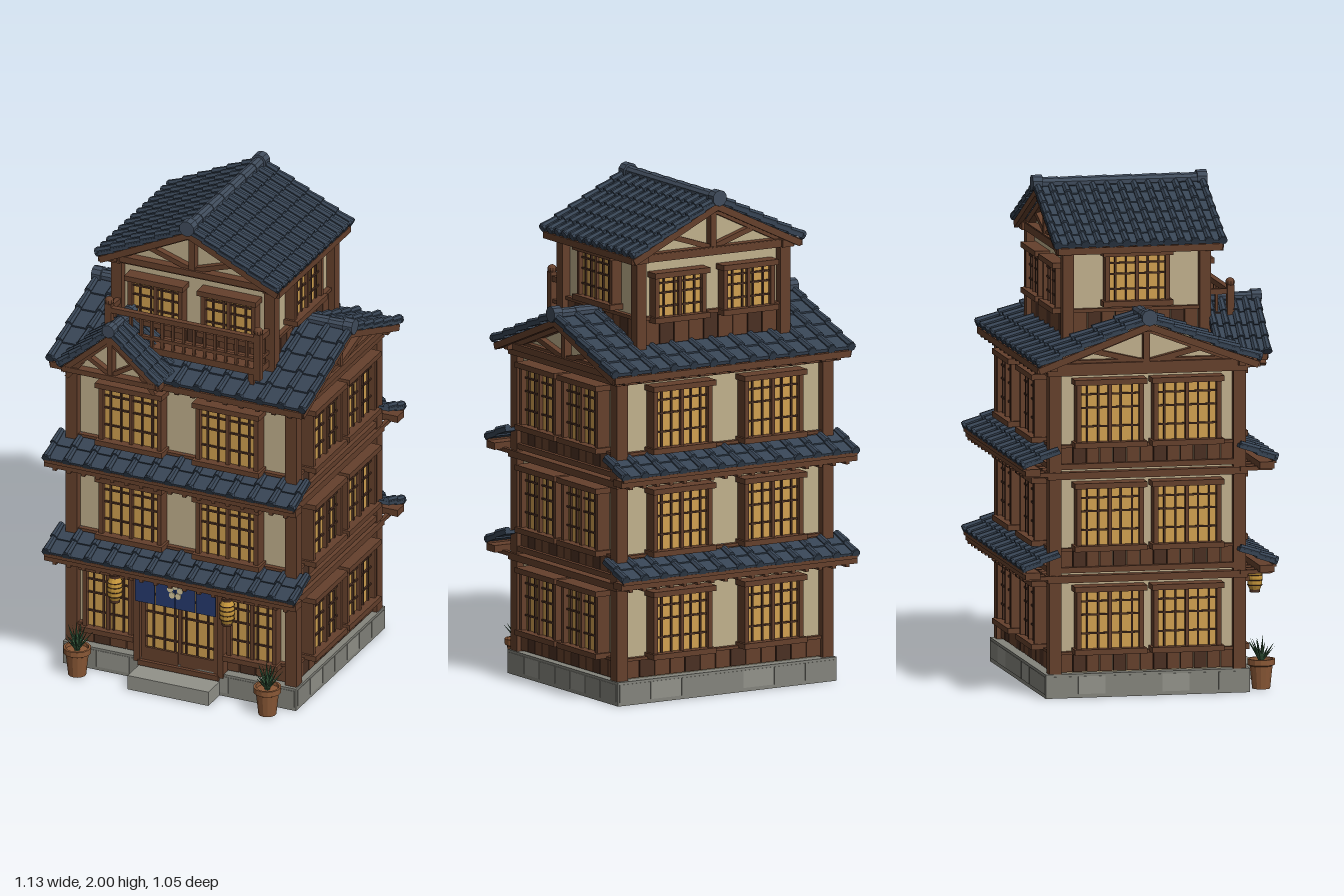
import * as THREE from 'three';
import { mergeGeometries } from 'three/addons/utils/BufferGeometryUtils.js';

const mat = (color) => new THREE.MeshStandardMaterial({ color, flatShading: true });
const WOOD = mat(0x65402c), DARK = mat(0x4a2f22), PLASTER = mat(0xc0b08c), PAPER = mat(0xd0a050);
const TILE = mat(0x374454), RIDGE = mat(0x404c5c), STONE = mat(0x84847c), STONE2 = mat(0x92928a);
const BLUE = mat(0x263a6e), CREAM = mat(0xd8cba0), POT = mat(0x8a5836), LEAF = mat(0x34583a), GOLD = mat(0xc8983c);

function mesh(parent, name, geo, material) {
  const m = new THREE.Mesh(geo, material);
  m.name = name;
  parent.add(m);
  return m;
}
function group(parent, name, x = 0, y = 0, z = 0, ry = 0) {
  const g = new THREE.Group();
  g.name = name;
  g.position.set(x, y, z);
  g.rotation.y = ry;
  if (parent) parent.add(g);
  return g;
}
// box: [width, height, depth, x, y, z, turn about z]
const box = ([w, h, d, x, y, z, rz = 0]) => new THREE.BoxGeometry(w, h, d).rotateZ(rz).translate(x, y, z);
const boxes = (parent, name, material, list) => mesh(parent, name, mergeGeometries(list.map(box)), material);
// straight timber between two points in the xy plane
const timber = (x1, y1, x2, y2, t, d, z) =>
  [Math.hypot(x2 - x1, y2 - y1), t, d, (x1 + x2) / 2, (y1 + y2) / 2, z, Math.atan2(y2 - y1, x2 - x1)];

// Lattice window facing +z, its back on z = 0, centred on x and y
function windowBay(parent, name, x, y, z, w, h, deep = 0.055) {
  const g = group(parent, name, x, y, z), f = 0.018;
  boxes(g, 'paperPane', PAPER, [[w - f, h - f, deep * 0.6, 0, 0, deep * 0.3]]);
  const frame = [[w + 0.02, 0.022, deep + 0.015, 0, h / 2 - 0.008, (deep + 0.015) / 2],
    [w + 0.02, 0.022, deep + 0.015, 0, -h / 2 + 0.008, (deep + 0.015) / 2], [0.014, h, deep * 0.9, 0, 0, deep * 0.45]];
  for (const s of [-1, 1]) frame.push([f, h, deep, s * (w - f) / 2, 0, deep / 2]);
  boxes(g, 'windowFrame', WOOD, frame);
  const bars = [], n = Math.max(4, Math.round(w / 0.045));
  for (let i = 1; i < n; i++) bars.push([0.007, h - f, 0.01, -w / 2 + (i * w) / n, 0, deep * 0.66]);
  for (const v of [-0.2, 0.08, 0.28]) bars.push([w - f, 0.007, 0.01, 0, v * h, deep * 0.64]);
  boxes(g, 'windowLattice', DARK, bars);
}

// Row of boards in two shades along x
function boards(parent, name, len, h, y, z, n, mats) {
  mats.forEach((m, k) => {
    const list = [];
    for (let i = 0; i < n; i++)
      if ((i % 3 === 1 ? 1 : 0) === k) list.push([len / n - 0.004, h, 0.012, -len / 2 + (i + 0.5) * len / n, y, z]);
    boxes(parent, name, m, list);
  });
}

// Tiled slope: x across, z running down from the top edge, pitched by angle
function slope(parent, name, width, len, angle, courses, cols, r = 0.014) {
  const parts = [], c = len / courses;
  for (let i = 0; i < courses; i++) {
    const zc = (i + 0.5) * c;
    parts.push(new THREE.BoxGeometry(width, 0.014, c * 1.08).rotateX(-0.08).translate(0, 0.01, zc));
    for (let j = 0; j < cols; j++) {
      const x = -width / 2 + r + (j * (width - 2 * r)) / (cols - 1);
      parts.push(new THREE.CylinderGeometry(r * 1.1, r * 0.9, c * 1.05, 7).rotateX(Math.PI / 2 - 0.08).translate(x, 0.02, zc));
      if (i === courses - 1)
        parts.push(new THREE.CylinderGeometry(r * 1.3, r * 1.3, 0.012, 8).rotateX(Math.PI / 2).translate(x, 0.018, len));
    }
  }
  mesh(parent, name, mergeGeometries(parts), TILE).rotation.x = angle;
}

// Gable roof with its ridge along z at y = 0, with timbered gables at z = +-wall
function gableRoof(parent, name, o) {
  const g = group(parent, name, o.x, o.y, o.z, o.ry), { len, half, drop, wall } = o, t = o.t || 0.026;
  const a = Math.atan2(drop, half), L = Math.hypot(half, drop), end = len / 2;
  const wood = [];
  for (const s of [-1, 1]) {
    slope(group(g, 'roofSlope', 0, 0, 0, s * Math.PI / 2), 'roofTiles', len, L, a, o.courses, o.cols);
    wood.push([0.02, 0.026, len - 0.03, s * (half - 0.002), -drop - 0.012, 0]);
    wood.push([t, t, len - 0.05, s * half * 0.86, -drop * 0.86 - 0.03, 0]);
    // bargeboards, tie beam, king post and struts
    for (const e of [-1, 1]) {
      wood.push(timber(0, -0.016, s * half, -drop - 0.016, t, 0.022, e * (end - 0.02)));
      wood.push(timber(0, -0.03, s * half * 0.95, -drop * 0.95 - 0.03, t, 0.03, e * (wall + 0.015)));
      wood.push(timber(0, -drop, s * half * 0.5, -drop * 0.5 - 0.03, t * 0.8, 0.03, e * (wall + 0.012)));
      if (s > 0) wood.push([half * 1.94, t, 0.045, 0, -drop - 0.008, e * (wall + 0.015)],
        [t, drop, 0.036, 0, -drop / 2 - 0.015, e * (wall + 0.015)]);
    }
  }
  wood.push([t, t, len - 0.03, 0, -0.025, 0]);
  boxes(g, 'roofTimbers', WOOD, wood);
  const tri = new THREE.Shape([new THREE.Vector2(-half * 0.93, -drop - 0.005),
    new THREE.Vector2(half * 0.93, -drop - 0.005), new THREE.Vector2(0, -0.015)]);
  mesh(g, 'gablePlaster', new THREE.ExtrudeGeometry(tri, { depth: wall * 2, bevelEnabled: false }).translate(0, 0, -wall), PLASTER);
  // ridge tiles with knobs at both ends
  const n = Math.max(2, Math.round(len / 0.1)), r = o.ridge || 0.024, ridge = [];
  for (let i = 0; i < n; i++)
    ridge.push(new THREE.CylinderGeometry(r, r * 0.88, len / n, 10).rotateX(Math.PI / 2).translate(0, 0.018, -end + (i + 0.5) * len / n));
  for (const e of [-1, 1])
    ridge.push(new THREE.CylinderGeometry(r * 1.25, r * 1.25, 0.04, 10).rotateX(Math.PI / 2).translate(0, 0.02, e * (end - 0.015)));
  mesh(g, 'ridgeTiles', mergeGeometries(ridge), RIDGE);
}

// Pot with a spray of pointed leaves
function pottedPlant(parent, x) {
  const g = group(parent, 'pottedPlant', x, 0, 0.46);
  const prof = [[0, 0], [0.036, 0], [0.046, 0.09], [0.055, 0.095], [0.055, 0.118], [0.046, 0.118], [0.044, 0.105], [0, 0.105]];
  mesh(g, 'pot', new THREE.LatheGeometry(prof.map((p) => new THREE.Vector2(...p)), 14), POT);
  const leaves = [];
  for (let i = 0; i < 16; i++) {
    const h = 0.085 + 0.03 * ((i * 7) % 5) / 5, lean = i < 4 ? 0.2 : 0.45 + 0.13 * (i % 3);
    leaves.push(new THREE.ConeGeometry(0.011, h, 4).scale(1, 1, 0.5).translate(0, h / 2, 0).rotateX(lean).rotateY(i * 2.4).translate(0, 0.105, 0));
  }
  mesh(g, 'leaves', mergeGeometries(leaves), LEAF);
}

function lantern(parent, x) {
  const g = group(parent, 'lantern', x, 0.415, 0.472);
  const prof = [[0, -0.05], [0.02, -0.05], [0.029, -0.03], [0.031, 0], [0.029, 0.03], [0.02, 0.05], [0, 0.05]];
  mesh(g, 'lanternPaper', new THREE.LatheGeometry(prof.map((p) => new THREE.Vector2(...p)), 12), GOLD);
  const rings = [-0.03, -0.01, 0.01, 0.03].map((y) => new THREE.TorusGeometry(0.03, 0.002, 4, 12).rotateX(Math.PI / 2).translate(0, y, 0));
  for (const s of [-1, 1]) rings.push(new THREE.CylinderGeometry(0.021, 0.021, 0.012, 12).translate(0, s * 0.053, 0));
  mesh(g, 'lanternBands', mergeGeometries(rings), DARK);
  boxes(g, 'lanternArm', DARK, [[0.012, 0.012, 0.13, 0, 0.07, -0.055]]);
}

export function createModel() {
  const root = group(null, 'townhouse');
  const body = group(root, 'mainBody', 0, 0, -0.015);
  const HX = 0.47, HZ = 0.365;
  boxes(body, 'foundation', STONE, [[1.01, 0.095, 0.82, 0, 0.0475, 0]]);
  boxes(root, 'doorStep', STONE2, [[0.35, 0.06, 0.12, 0, 0.03, 0.44]]);
  boxes(body, 'plasterWalls', PLASTER, [[HX * 2, 1.24, HZ * 2, 0, 0.7, 0]]);
  const posts = [];
  for (const sx of [-1, 1]) for (const sz of [-1, 1]) posts.push([0.05, 1.22, 0.05, sx * (HX + 0.005), 0.7, sz * (HZ + 0.005)]);
  boxes(body, 'cornerPosts', WOOD, posts);

  // four storey faces: planks, beams and windows on three floors
  for (let k = 0; k < 4; k++) {
    const front = k === 0, side = k % 2 === 1;
    const face = group(body, ['frontFace', 'leftFace', 'backFace', 'rightFace'][k], 0, 0, 0, k * Math.PI / 2);
    const z = side ? HX : HZ, len = side ? HZ * 2 : HX * 2;
    boards(face, 'foundationStones', len + 0.06, 0.07, 0.05, z + (side ? 0.031 : 0.041), 7, [STONE, STONE2]);
    for (let i = 0; i < 3; i++) {
      const b = 0.1 + 0.41 * i;
      boards(face, 'skirtPlanks', len - 0.03, 0.075, b + 0.037, z + 0.006, 13, [WOOD, DARK]);
      boxes(face, 'floorBeams', WOOD, [[len + 0.07, 0.028, 0.05, 0, b + 0.37, z + 0.012],
        [len + 0.05, 0.022, 0.036, 0, b + 0.405, z + 0.01], [len, 0.012, 0.03, 0, b + 0.075, z + 0.006]]);
      if (front && i === 0) continue;
      for (const s of [-1, 1]) windowBay(face, 'latticeWindow', s * (side ? 0.155 : 0.21), b + 0.208, z, 0.27, 0.265);
    }
  }

  // shop front: side windows, sliding door, curtain, lanterns and pots
  for (const s of [-1, 1]) {
    windowBay(root, 'shopWindow', s * 0.312, 0.305, 0.35, 0.215, 0.285, 0.045);
    lantern(root, s * 0.243);
    pottedPlant(root, s * 0.412);
  }
  windowBay(root, 'slidingDoor', 0, 0.265, 0.35, 0.33, 0.39, 0.045);
  boxes(root, 'doorKickBoards', WOOD, [[0.15, 0.06, 0.01, -0.08, 0.115, 0.39], [0.15, 0.06, 0.01, 0.08, 0.115, 0.39]]);
  boxes(root, 'doorPosts', WOOD, [[0.026, 0.4, 0.06, -0.18, 0.28, 0.375], [0.026, 0.4, 0.06, 0.18, 0.28, 0.375]]);
  boxes(root, 'doorCurtain', BLUE, [-1.5, -0.5, 0.5, 1.5].map((i) => [0.084, 0.13, 0.006, i * 0.088, 0.422, 0.43]));
  boxes(root, 'curtainRod', DARK, [[0.38, 0.012, 0.012, 0, 0.488, 0.43], [0.012, 0.012, 0.08, -0.18, 0.488, 0.395], [0.012, 0.012, 0.08, 0.18, 0.488, 0.395]]);
  const petals = [];
  for (let i = 0; i < 5; i++) {
    const a = Math.PI / 2 + i * Math.PI * 0.4;
    petals.push(new THREE.CylinderGeometry(0.013, 0.013, 0.004, 10).rotateX(Math.PI / 2).translate(Math.cos(a) * 0.022, 0.432 + Math.sin(a) * 0.022, 0.435));
  }
  mesh(root, 'curtainBlossom', mergeGeometries(petals), CREAM);

  // lower eaves along the front and back, above floors one and two
  for (const ry of [0, Math.PI]) for (const y of [0.565, 0.975]) {
    const e = group(body, 'lowerEave', 0, y, 0, ry);
    const tiles = group(e, 'eaveSlope', 0, 0, HZ - 0.005);
    slope(tiles, 'eaveTiles', 1.09, 0.152, 0.4, 2, 13);
    const wood = [[1.09, 0.028, 0.06, 0, -0.072, HZ + 0.105], [1.08, 0.014, 0.014, 0, -0.058, HZ + 0.137]];
    for (let i = 0; i < 17; i++) wood.push([0.016, 0.016, 0.13, -0.5 + i / 16, -0.088, HZ + 0.07]);
    boxes(e, 'eaveTimbers', WOOD, wood);
  }

  // main roof, ridge along x
  gableRoof(root, 'mainRoof', { x: 0, y: 1.485, z: -0.02, ry: Math.PI / 2, len: 1.12, half: 0.44, drop: 0.165, wall: 0.475, courses: 5, cols: 13, ridge: 0.026 });
  const rafters = [];
  for (let i = 0; i < 15; i++) for (const s of [-1, 1]) rafters.push([0.018, 0.02, 0.09, -0.49 + i * 0.07, 1.297, -0.02 + s * 0.4]);
  boxes(root, 'rafterEnds', DARK, rafters);

  // top room
  const top = group(root, 'topRoom', 0, 0, -0.025);
  const TX = 0.32, TZ = 0.265;
  boxes(top, 'topWalls', PLASTER, [[TX * 2, 0.42, TZ * 2, 0, 1.55, 0]]);
  const topPosts = [];
  for (const sx of [-1, 1]) for (const sz of [-1, 1]) topPosts.push([0.045, 0.44, 0.045, sx * (TX + 0.012), 1.55, sz * (TZ + 0.01)]);
  boxes(top, 'topPosts', WOOD, topPosts);
  for (let k = 0; k < 4; k++) {
    const side = k % 2 === 1, z = side ? TX : TZ, len = side ? TZ * 2 : TX * 2;
    const face = group(top, 'topFace', 0, 0, 0, k * Math.PI / 2);
    boards(face, 'topSkirtPlanks', len - 0.03, 0.1, 1.45, z + 0.006, 9, [WOOD, DARK]);
    boxes(face, 'topBeams', WOOD, [[len + 0.1, 0.03, 0.05, 0, 1.75, z + 0.015], [len, 0.014, 0.03, 0, 1.508, z + 0.006]]);
    if (side) windowBay(face, 'topSideWindow', 0, 1.635, z, 0.26, 0.215, 0.045);
    else for (const s of [-1, 1]) windowBay(face, 'topWindow', s * 0.158, 1.592, z, 0.235, 0.195, 0.045);
  }
  gableRoof(root, 'topRoof', { x: 0, y: 1.948, z: -0.02, len: 0.69, half: 0.385, drop: 0.185, wall: 0.27, courses: 6, cols: 13, ridge: 0.026 });

  // balcony
  const bal = group(root, 'balcony', 0, 0, 0.24);
  const rail = [[0.66, 0.028, 0.13, 0, 1.425, 0.06], [0.66, 0.022, 0.024, 0, 1.565, 0.115], [0.66, 0.014, 0.016, 0, 1.475, 0.115]];
  for (let i = 1; i < 14; i++) rail.push([0.011, 0.13, 0.011, -0.32 + i * 0.0457, 1.5, 0.115]);
  for (const s of [-1, 1]) {
    rail.push([0.028, 0.2, 0.028, s * 0.323, 1.49, 0.115], [0.02, 0.022, 0.12, s * 0.323, 1.565, 0.055], [0.014, 0.014, 0.12, s * 0.323, 1.475, 0.055]);
    rail.push([0.024, 0.12, 0.024, s * 0.29, 1.37, 0.1], [0.011, 0.13, 0.011, s * 0.323, 1.5, 0.06]);
    mesh(bal, 'railKnob', new THREE.SphereGeometry(0.019, 10, 8).translate(s * 0.323, 1.6, 0.115), WOOD);
  }
  boxes(bal, 'balconyRail', WOOD, rail);

  // small front gable on the right part of the main roof
  gableRoof(root, 'frontGable', { x: -0.265, y: 1.515, z: 0.375, len: 0.22, half: 0.205, drop: 0.18, wall: 0.065, courses: 4, cols: 5, t: 0.022, ridge: 0.022 });
  const knees = [];
  for (const s of [-1, 1]) knees.push(timber(-0.265 + s * 0.13, 1.36, -0.265 + s * 0.19, 1.29, 0.018, 0.03, 0.455));
  boxes(root, 'frontGableBraces', WOOD, knees);
  return root;
}
